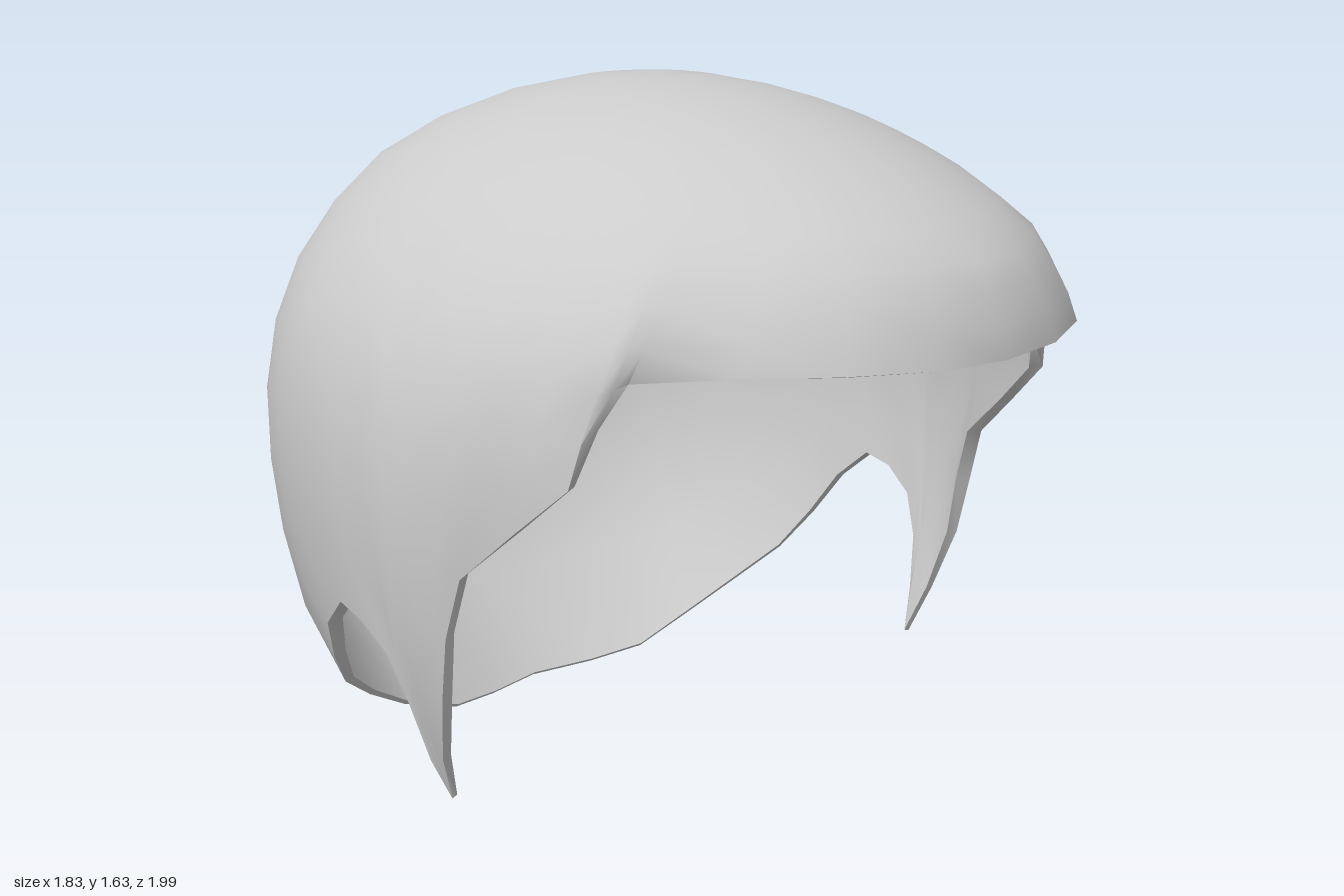
import * as THREE from 'three';
import { toCreasedNormals } from 'three/addons/utils/BufferGeometryUtils.js';

const TOP = 1.635, CENTRE_Z = -0.06, ROWS = 12, THICKNESS = 0.022;

// Horizontal sections of the dome: height, half width, reach to front, reach to back
const SECTIONS = [
  [1.635, 0, 0, 0], [1.61, 0.22, 0.30, 0.25], [1.54, 0.42, 0.57, 0.50],
  [1.43, 0.605, 0.82, 0.70], [1.32, 0.73, 0.98, 0.79], [1.16, 0.85, 1.06, 0.87],
  [1.0, 0.90, 1.04, 0.92], [0.85, 0.918, 1.0, 0.94], [0.67, 0.918, 0.92, 0.935],
  [0.45, 0.90, 0.87, 0.88], [0.26, 0.85, 0.84, 0.76], [0.1, 0.79, 0.81, 0.61],
  [0, 0.55, 0.8, 0.48],
];

// Hem of the left half, from the middle of the fringe to the middle of the nape
const HEM = [
  [0, 1.125, 0.993], [0.19, 1.13, 0.975], [0.38, 1.135, 0.89], [0.53, 1.13, 0.745], // fringe
  [0.66, 1.11, 0.565], [0.715, 1.02, 0.535], [0.775, 0.9, 0.51], [0.82, 0.79, 0.39], // temple
  [0.86, 0.67, 0.26], [0.87, 0.53, 0.22], [0.86, 0.38, 0.19], [0.825, 0.22, 0.14],
  [0.775, 0.1, 0.105], // sideburn tip
  [0.82, 0.2, 0.09], [0.86, 0.34, 0.07], [0.885, 0.45, 0.03], [0.895, 0.51, -0.05],
  [0.89, 0.53, -0.13], [0.865, 0.45, -0.22], [0.81, 0.34, -0.28], // behind the ear
  [0.74, 0.24, -0.34], [0.63, 0.16, -0.4], [0.49, 0.08, -0.45],
  [0.32, 0.02, -0.465], [0.17, 0.005, -0.5], [0, 0, -0.54], // nape
];

// Interpolated section; the square root of the depth keeps the crown round
function sectionAt(y) {
  const depth = (h) => Math.sqrt(Math.max(0, TOP - h));
  let k = 1;
  while (k < SECTIONS.length - 1 && SECTIONS[k][0] > y) k++;
  const a = SECTIONS[k - 1], b = SECTIONS[k];
  const t = (depth(y) - depth(a[0])) / (depth(b[0]) - depth(a[0]));
  return [1, 2, 3].map((j) => THREE.MathUtils.lerp(a[j], b[j], t));
}

// Elliptic in front, slightly squarer behind
function domePoint(angle, y) {
  const [width, front, back] = sectionAt(y);
  const s = Math.max(0, Math.sin(angle)), c = Math.cos(angle);
  if (c > 0) return new THREE.Vector3(width * s, y, CENTRE_Z + front * c);
  return new THREE.Vector3(width * s ** 0.95, y, CENTRE_Z - back * (-c) ** 0.95);
}

// One strand of points from below the crown down to a hem point
function column([x, y, z], evenAngle) {
  const [width, front, back] = sectionAt(y);
  const dz = z - CENTRE_Z;
  const hemAngle = Math.atan2(x / width, dz / (dz > 0 ? front : back));
  const correction = new THREE.Vector3(x, y, z).sub(domePoint(hemAngle, y));
  const points = [];
  for (let r = 1; r <= ROWS; r++) {
    const t = r / ROWS;
    const angle = THREE.MathUtils.lerp(evenAngle, hemAngle, 0.5 + 0.5 * t);
    const h = TOP - (TOP - y) * (1 - Math.cos(t * Math.PI / 2));
    points.push(domePoint(angle, h).addScaledVector(correction, t ** 5));
  }
  return points;
}

// The shell is thicker along the hem at the temples and ears, thin at tips and nape
function thicknessAt(p, row) {
  const hem = 0.01 + 0.035 * Math.min(1, p.y / 0.5) * Math.abs(p.x);
  return THREE.MathUtils.lerp(THICKNESS, hem, ((row + 1) / ROWS) ** 4);
}

function hairGeometry() {
  const half = HEM.map((p, i) => column(p, Math.PI * i / (HEM.length - 1)));
  const mirrored = half.slice(1, -1).reverse()
    .map((col) => col.map((p) => new THREE.Vector3(-p.x, p.y, p.z)));
  const columns = [...half, ...mirrored];
  const n = columns.length;

  // Outer skin: one crown point, then the columns, with mirrored diagonals
  const points = [new THREE.Vector3(0, TOP, CENTRE_Z), ...columns.flat()];
  const id = (c, r) => 1 + (c % n) * ROWS + r;
  const outer = [];
  for (let c = 0; c < n; c++) {
    outer.push(0, id(c, 0), id(c + 1, 0));
    for (let r = 0; r < ROWS - 1; r++) {
      const a = id(c, r), b = id(c + 1, r), d = id(c, r + 1), e = id(c + 1, r + 1);
      if (c < n / 2) outer.push(a, d, b, b, d, e);
      else outer.push(a, d, e, a, e, b);
    }
  }
  const skin = new THREE.BufferGeometry().setFromPoints(points);
  skin.setIndex(outer);
  skin.computeVertexNormals();

  // Inner skin: the outer one moved inward and turned over
  const normals = skin.attributes.normal;
  const inside = points.map((p, i) => new THREE.Vector3().fromBufferAttribute(normals, i)
    .multiplyScalar(-thicknessAt(p, i ? (i - 1) % ROWS : -1)).add(p));
  const shift = points.length;
  const index = [...outer];
  for (let k = 0; k < outer.length; k += 3) {
    index.push(outer[k] + shift, outer[k + 2] + shift, outer[k + 1] + shift);
  }

  // Rim joining both skins along the hem
  for (let c = 0; c < n; c++) {
    const a = id(c, ROWS - 1), b = id(c + 1, ROWS - 1);
    index.push(a, a + shift, b, b, a + shift, b + shift);
  }
  const shell = new THREE.BufferGeometry().setFromPoints([...points, ...inside]);
  shell.setIndex(index);
  return toCreasedNormals(shell, 1.0);
}

export function createModel() {
  const group = new THREE.Group();
  group.name = 'hairpiece';
  const material = new THREE.MeshStandardMaterial({ color: 0xcccccc, side: THREE.DoubleSide });
  const hair = new THREE.Mesh(hairGeometry(), material);
  hair.name = 'hairShell';
  group.add(hair);
  return group;
}
